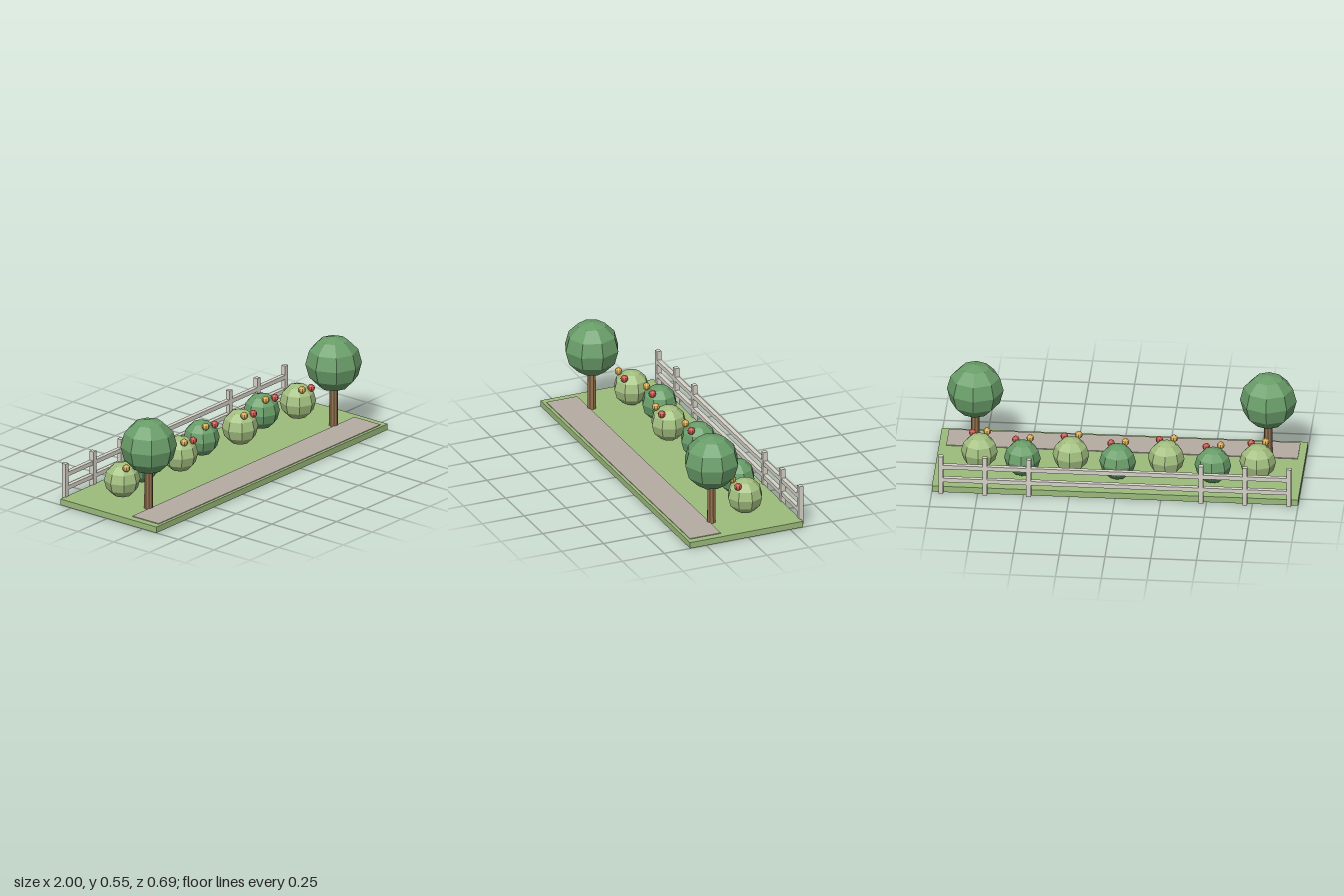
import * as THREE from 'three';

const mat = (color) => new THREE.MeshStandardMaterial({ color, flatShading: true });

export function createModel() {
  const model = new THREE.Group();
  model.name = 'gardenStrip';

  const grass = mat(0x9cbb7c), gravel = mat(0xb5aca2), wood = mat(0x94724f);
  const fencePaint = mat(0xd6d3c8), darkLeaf = mat(0x6a9e6a), lightLeaf = mat(0xa3bf80);
  const red = mat(0xc9574b), yellow = mat(0xd9ac55);

  const add = (parent, name, geometry, material, x, y, z) => {
    const mesh = new THREE.Mesh(geometry, material);
    mesh.name = name;
    mesh.position.set(x, y, z);
    parent.add(mesh);
    return mesh;
  };
  const group = (name, x = 0, y = 0, z = 0) => {
    const g = new THREE.Group();
    g.name = name;
    g.position.set(x, y, z);
    model.add(g);
    return g;
  };

  // Lawn slab and gravel path along the front
  add(model, 'lawn', new THREE.BoxGeometry(2, 0.035, 0.672), grass, 0, 0.0175, 0.01);
  add(model, 'path', new THREE.BoxGeometry(1.92, 0.008, 0.183), gravel, 0, 0.035, 0.237);

  // Two round trees near the front corners
  const crownGeo = new THREE.SphereGeometry(0.155, 8, 6);
  const trunkGeo = new THREE.CylinderGeometry(0.023, 0.025, 0.28, 8);
  for (const side of [-1, 1]) {
    const tree = group(side > 0 ? 'leftTree' : 'rightTree', side * 0.8, 0, 0.13);
    add(tree, 'trunk', trunkGeo, wood, 0, 0.1405, 0);
    add(tree, 'crown', crownGeo, darkLeaf, 0, 0.397, 0);
  }

  // Staggered row of bushes, each with a yellow and a red blossom
  const bushGeo = new THREE.SphereGeometry(0.1, 8, 6);
  const blossomGeo = new THREE.SphereGeometry(0.021, 8, 6);
  [-0.76, -0.52, -0.26, 0, 0.26, 0.52, 0.76].forEach((x, i) => {
    const light = i % 2 === 0;
    const bush = group('bush', x, 0.136, light ? -0.088 : -0.148);
    add(bush, 'foliage', bushGeo, light ? lightLeaf : darkLeaf, 0, 0, 0);
    add(bush, 'yellowBlossom', blossomGeo, yellow, -0.038, 0.09, 0.06);
    add(bush, 'redBlossom', blossomGeo, red, 0.041, 0.078, 0.06);
  });

  // Fence along the back: posts and two rails
  const fence = group('fence', 0, 0, -0.333);
  const postGeo = new THREE.BoxGeometry(0.026, 0.227, 0.026);
  const railGeo = new THREE.BoxGeometry(1.924, 0.024, 0.025);
  for (const x of [-0.95, -0.71, -0.47, 0.47, 0.71, 0.95]) {
    add(fence, 'post', postGeo, fencePaint, x, 0.1135, 0);
  }
  add(fence, 'lowerRail', railGeo, fencePaint, 0, 0.084, 0);
  add(fence, 'upperRail', railGeo, fencePaint, 0, 0.163, 0);

  return model;
}
